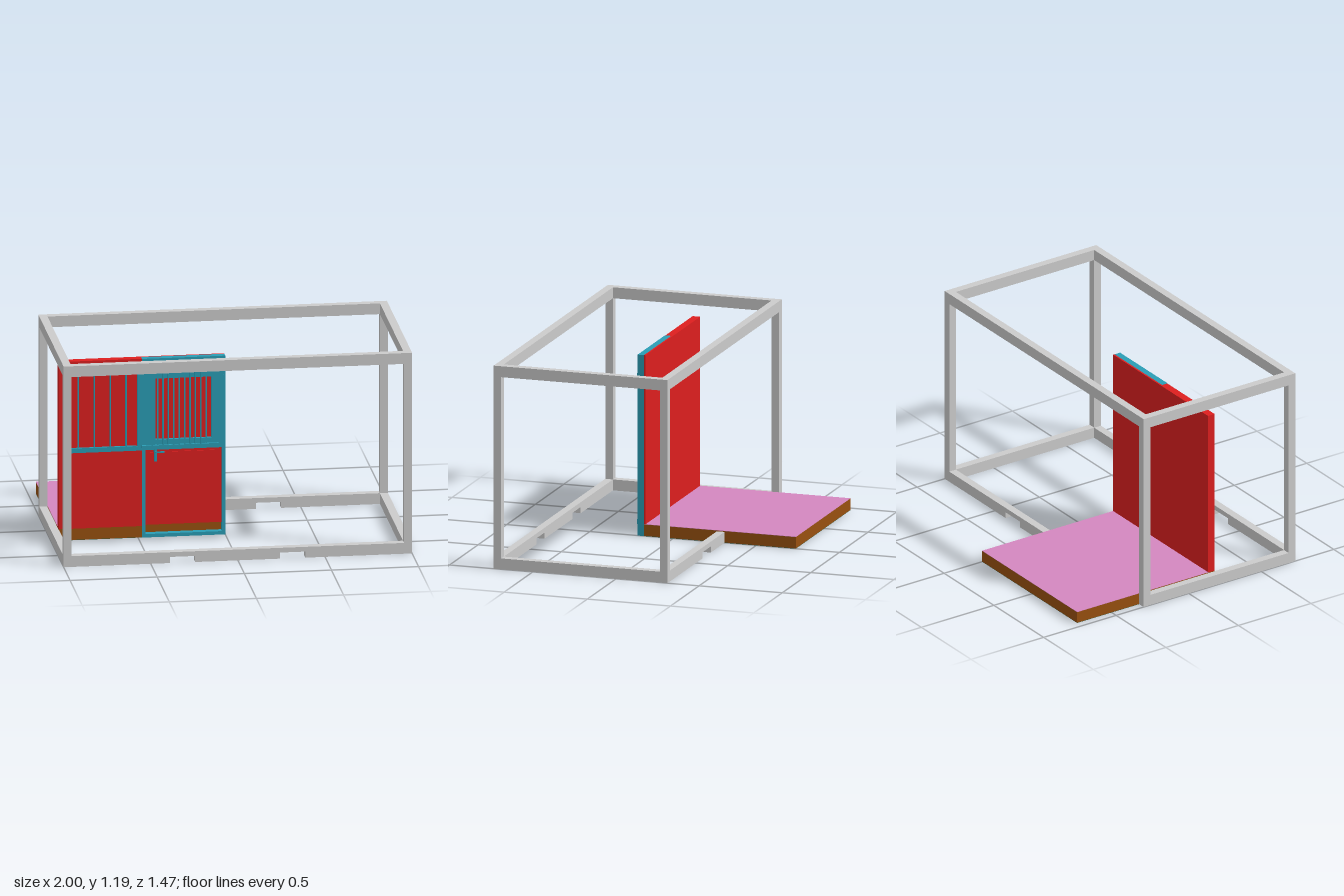
import * as THREE from 'three';

const mat = (color) => new THREE.MeshStandardMaterial({ color });
const grey = mat(0xcccccc), red = mat(0xdd1f1f), teal = mat(0x2a9db5);
const brown = mat(0x98500f), pink = mat(0xd487c0), green = mat(0x40613f);

// Box given by its limits on each axis
function box(parent, name, material, [x0, x1], [y0, y1], [z0, z1]) {
  const mesh = new THREE.Mesh(new THREE.BoxGeometry(x1 - x0, y1 - y0, z1 - z0), material);
  mesh.position.set((x0 + x1) / 2, (y0 + y1) / 2, (z0 + z1) / 2);
  mesh.name = name;
  parent.add(mesh);
  return mesh;
}

// Rectangular frame with an opening, extruded along z
function border(parent, name, material, [x0, x1], [y0, y1], [z0, z1], wx, wy) {
  const shape = new THREE.Shape();
  shape.moveTo(x0, y0).lineTo(x1, y0).lineTo(x1, y1).lineTo(x0, y1).closePath();
  const hole = new THREE.Path();
  hole.moveTo(x0 + wx, y0 + wy).lineTo(x0 + wx, y1 - wy).lineTo(x1 - wx, y1 - wy).lineTo(x1 - wx, y0 + wy).closePath();
  shape.holes.push(hole);
  const mesh = new THREE.Mesh(new THREE.ExtrudeGeometry(shape, { depth: z1 - z0, bevelEnabled: false }), material);
  mesh.position.z = z0;
  mesh.name = name;
  parent.add(mesh);
}

// Container skeleton: two long side frames with fork pockets, joined by cross beams
function buildFrame() {
  const g = new THREE.Group();
  g.name = 'containerFrame';
  const H = 1.19, tx = 0.046, ty = 0.064, zb = -0.31, zf = 0.735;
  const shape = new THREE.Shape();
  shape.moveTo(-1, 0);
  for (const [a, b] of [[-0.39, -0.245], [0.242, 0.387]]) {
    shape.lineTo(a, 0).lineTo(a, 0.036).lineTo(b, 0.036).lineTo(b, 0);
  }
  shape.lineTo(1, 0).lineTo(1, H).lineTo(-1, H).closePath();
  const hole = new THREE.Path();
  hole.moveTo(-1 + tx, ty).lineTo(-1 + tx, H - ty).lineTo(1 - tx, H - ty).lineTo(1 - tx, ty).closePath();
  shape.holes.push(hole);
  const geo = new THREE.ExtrudeGeometry(shape, { depth: tx, bevelEnabled: false });
  for (const [name, z] of [['backFrame', zb], ['frontFrame', zf - tx]]) {
    const mesh = new THREE.Mesh(geo, grey);
    mesh.position.z = z;
    mesh.name = name;
    g.add(mesh);
  }
  for (const x of [-1, 1 - tx]) {
    for (const y of [0, H - ty]) box(g, 'crossBeam', grey, [x, x + tx], [y, y + ty], [zb + tx, zf - tx]);
  }
  return g;
}

// Floor slab with a coloured top and underside
function buildFloor() {
  const g = new THREE.Group();
  g.name = 'floor';
  const x = [-0.955, 0];
  box(g, 'floorCore', brown, x, [0.002, 0.068], [-0.738, 0.174]);
  box(g, 'floorFrontEdge', brown, [-0.955, -0.478], [0.002, 0.068], [0.174, 0.21]);
  box(g, 'floorTop', pink, x, [0.068, 0.07], [-0.738, 0.174]);
  box(g, 'floorUnderside', green, x, [0, 0.002], [-0.738, 0.174]);
  box(g, 'floorUndersideEdge', green, [-0.955, -0.478], [0, 0.002], [0.174, 0.21]);
  return g;
}

// Vertical bars between two horizontal rails
function grille(parent, xs, xRail, y, z) {
  for (const x of xs) box(parent, 'grilleBar', teal, [x - 0.004, x + 0.004], y, z);
  for (const yr of y) box(parent, 'grilleRail', teal, xRail, [yr - 0.008, yr + 0.008], [z[0], z[1] + 0.003]);
}

function buildWall() {
  const g = new THREE.Group();
  g.name = 'wall';
  box(g, 'wallSkin', red, [-0.955, 0], [0.07, 1.06], [0.165, 0.175]);
  box(g, 'wallPanel', red, [-0.955, -0.478], [0.068, 1.06], [0.174, 0.21]);

  // Fixed window with security bars
  const win = new THREE.Group();
  win.name = 'window';
  border(win, 'windowFrame', teal, [-0.935, -0.479], [0.518, 1.0], [0.208, 0.217], 0.026, 0.026);
  grille(win, [-0.845, -0.752, -0.66, -0.57], [-0.9, -0.51], [0.54, 0.985], [0.211, 0.222]);
  g.add(win);

  // Door frame, leaf and glazed upper half
  const door = new THREE.Group();
  door.name = 'door';
  border(door, 'doorFrame', teal, [-0.478, 0], [0, 1.06], [0.174, 0.213], 0.019, 0.02);
  box(door, 'doorLeaf', red, [-0.459, -0.019], [0.07, 1.04], [0.174, 0.195]);
  box(door, 'doorLowerPanel', red, [-0.43, -0.06], [0.085, 0.5], [0.194, 0.2]);
  border(door, 'doorWindowFrame', teal, [-0.459, -0.019], [0.518, 1.0], [0.194, 0.213], 0.06, 0.06);
  const bars = Array.from({ length: 11 }, (_, i) => -0.42 + i * 0.031);
  grille(door, bars, [-0.48, -0.04], [0.54, 0.985], [0.212, 0.223]);

  // Handle and hinges
  box(door, 'handlePlate', teal, [-0.408, -0.392], [0.45, 0.52], [0.194, 0.216]);
  box(door, 'handleStem', teal, [-0.404, -0.396], [0.504, 0.512], [0.214, 0.232]);
  box(door, 'handleLever', teal, [-0.404, -0.35], [0.504, 0.512], [0.226, 0.232]);
  for (const y of [0.065, 0.92]) box(door, 'hinge', teal, [-0.02, -0.008], [y, y + 0.03], [0.21, 0.219]);
  g.add(door);
  return g;
}

export function createModel() {
  const model = new THREE.Group();
  model.name = 'containerRoom';
  model.add(buildFrame(), buildFloor(), buildWall());
  return model;
}
